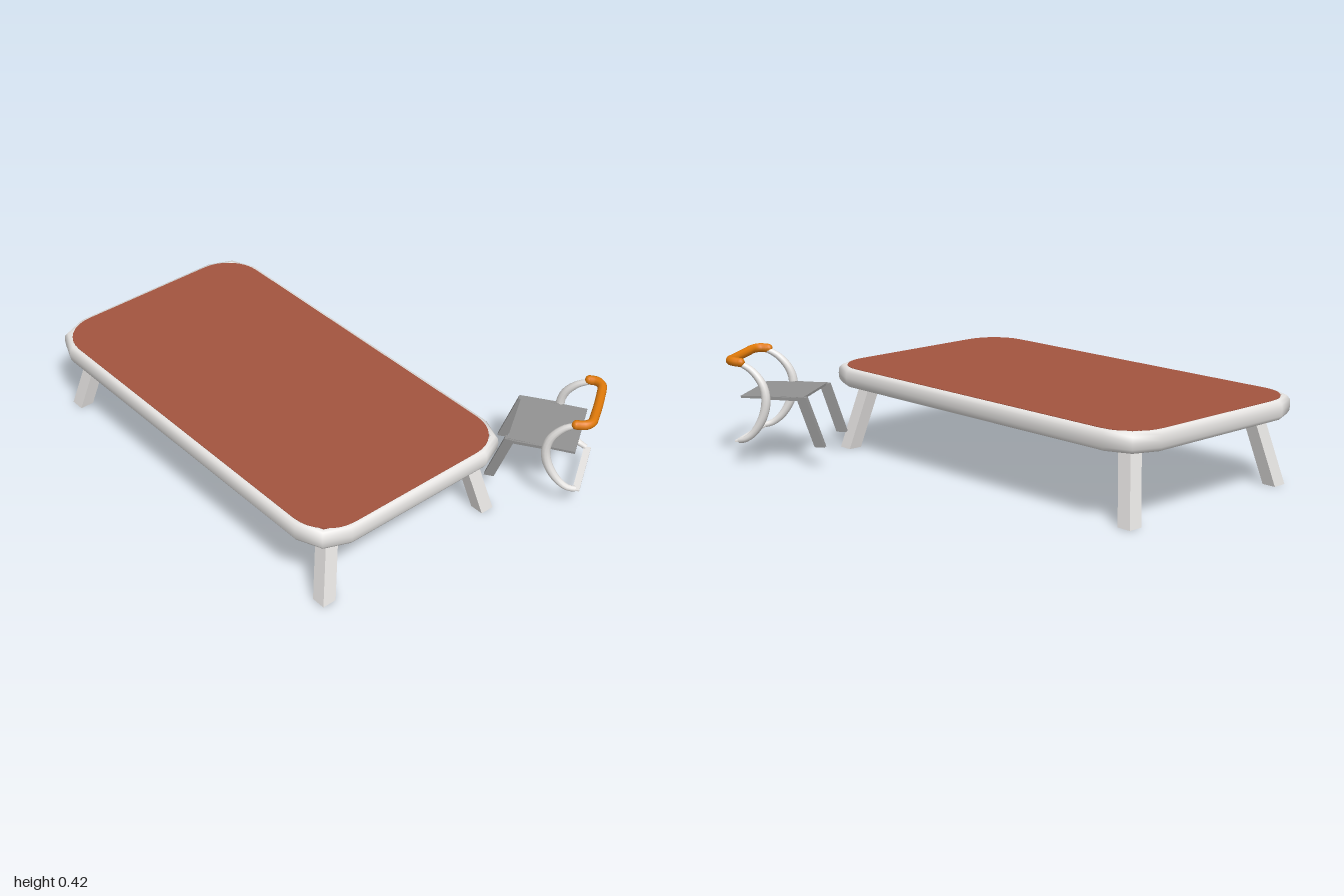
import * as THREE from 'three';

const mat = (name, color) => {
  const m = new THREE.MeshStandardMaterial({ color });
  m.name = name;
  return m;
};

function add(parent, name, geometry, material, x = 0, y = 0, z = 0) {
  const mesh = new THREE.Mesh(geometry, material);
  mesh.name = name;
  mesh.position.set(x, y, z);
  parent.add(mesh);
  return mesh;
}

// Table outline drawn in by an inset, each corner an arc of a few segments
function outline(inset, radius, segments) {
  const hx = 0.82 - inset, hz = 0.46 - inset;
  const pts = [];
  for (let q = 0; q < 4; q++) {
    const sx = q === 0 || q === 3 ? 1 : -1, sz = q < 2 ? 1 : -1;
    for (let k = 0; k <= segments; k++) {
      const a = (q + k / segments) * Math.PI / 2;
      pts.push([sx * (hx - radius) + radius * Math.cos(a), sz * (hz - radius) + radius * Math.sin(a)]);
    }
  }
  return pts;
}

// Closed rounded band swept around the table outline
function rimGeometry() {
  const profile = [[0.026, 0.336], [0.012, 0.334], [0.002, 0.321], [0, 0.3],
    [0.002, 0.278], [0.01, 0.265], [0.02, 0.261], [0.031, 0.265], [0.038, 0.28],
    [0.04, 0.3], [0.038, 0.324], [0.026, 0.336]];
  const pos = [], idx = [], n = 12;
  for (const [inset, y] of profile) {
    for (const [x, z] of outline(inset, 0.14 - inset * 0.6, 2)) pos.push(x, y, z);
  }
  for (let j = 0; j < profile.length - 1; j++) {
    for (let i = 0; i < n; i++) {
      const a = j * n + i, b = j * n + (i + 1) % n;
      idx.push(a, b, a + n, b, b + n, a + n);
    }
  }
  const g = new THREE.BufferGeometry();
  g.setAttribute('position', new THREE.Float32BufferAttribute(pos, 3));
  g.setIndex(idx);
  g.computeVertexNormals();
  return g;
}

// Upright box whose foot is shifted sideways from its top
function leaningBox(w, d, top, foot) {
  const g = new THREE.BoxGeometry(w, 1, d);
  const p = g.attributes.position;
  for (let i = 0; i < p.count; i++) {
    const c = p.getY(i) > 0 ? top : foot;
    p.setXYZ(i, p.getX(i) + c[0], c[1], p.getZ(i) + c[2]);
  }
  g.computeVertexNormals();
  return g;
}

const curveThrough = points => new THREE.CatmullRomCurve3(points.map(p => new THREE.Vector3(...p)));

// Tube that is thickest halfway along
function taperedTube(points, radius, segments = 24, sides = 10) {
  const curve = curveThrough(points);
  const g = new THREE.TubeGeometry(curve, segments, radius, sides, false);
  const p = g.attributes.position, v = new THREE.Vector3();
  for (let i = 0; i < p.count; i++) {
    const t = Math.floor(i / (sides + 1)) / segments;
    const c = curve.getPointAt(t);
    v.fromBufferAttribute(p, i).sub(c).multiplyScalar(0.65 + 0.4 * Math.sin(Math.PI * t)).add(c);
    p.setXYZ(i, v.x, v.y, v.z);
  }
  return g;
}

export function createModel() {
  const light = mat('light grey', 0xe8e6e4);
  const brown = mat('red brown', 0xa3543f);
  const grey = mat('mid grey', 0x929292);
  const orange = mat('orange', 0xe07a0a);
  const model = new THREE.Group();
  model.name = 'tableAndChair';

  // Table
  const table = new THREE.Group();
  table.name = 'table';
  table.position.set(-0.13, 0, 0.045);
  table.rotation.y = -0.213;
  model.add(table);
  add(table, 'tableRim', rimGeometry(), light);

  // Thin top, set within the rim and open below
  const shape = new THREE.Shape(outline(0.023, 0.15, 8).map(([x, z]) => new THREE.Vector2(x, -z)));
  const board = new THREE.ExtrudeGeometry(shape, { depth: 0.02, bevelEnabled: false });
  board.rotateX(-Math.PI / 2);
  add(table, 'tableTop', board, brown, 0, 0.3175, 0);

  // Legs splay outward to the corners
  for (const sx of [-1, 1]) for (const sz of [-1, 1]) {
    const footX = sx > 0 ? 0.753 : -0.741;
    add(table, 'tableLeg', leaningBox(0.056, 0.056,
      [footX - sx * 0.071, 0.319, sz * 0.313], [footX, 0, sz * 0.387]), light);
  }

  // Chair, local +z is its front
  const chair = new THREE.Group();
  chair.name = 'chair';
  chair.position.set(0.785, 0, -0.445);
  chair.rotation.y = -1.208;
  model.add(chair);
  const seat = add(chair, 'seat', new THREE.BoxGeometry(0.27, 0.009, 0.25), grey, 0, 0.268, 0.002);
  seat.rotation.x = -0.03;

  for (const s of [-1, 1]) {
    // Front leg and the short rail beside the seat
    add(chair, 'chairFrontLeg', leaningBox(0.024, 0.038,
      [s * 0.128, 0.274, 0.118], [s * 0.124, 0.086, 0.185]), grey);
    add(chair, 'seatRail', new THREE.BoxGeometry(0.014, 0.012, 0.13), grey, s * 0.135, 0.267, 0.05);
    // Bowed tube from backrest to rear foot
    add(chair, 'chairSideTube', taperedTube([
      [s * 0.138, 0.396, -0.125], [s * 0.14, 0.37, -0.075], [s * 0.144, 0.32, -0.032],
      [s * 0.146, 0.265, -0.018], [s * 0.145, 0.2, -0.03], [s * 0.142, 0.135, -0.068],
      [s * 0.138, 0.102, -0.108], [s * 0.128, 0.093, -0.138]], 0.0165), light);
  }
  // Flat bar joining the rear feet
  add(chair, 'rearFootBar', new THREE.BoxGeometry(0.265, 0.006, 0.026), light, 0, 0.09, -0.142);

  // Backrest grip with forward-turned ends
  const ends = [[0.142, 0.398, -0.117], [0.138, 0.4, -0.147], [0.117, 0.399, -0.167], [0.06, 0.397, -0.172]];
  const mirrored = ends.map(([x, y, z]) => [-x, y, z]).reverse();
  const grip = new THREE.TubeGeometry(curveThrough([...ends, ...mirrored]), 36, 0.0175, 10, false);
  add(chair, 'backrest', grip, orange);
  for (const s of [-1, 1]) {
    add(chair, 'backrestEnd', new THREE.SphereGeometry(0.0175, 10, 8), orange, s * 0.142, 0.398, -0.117);
  }
  return model;
}
